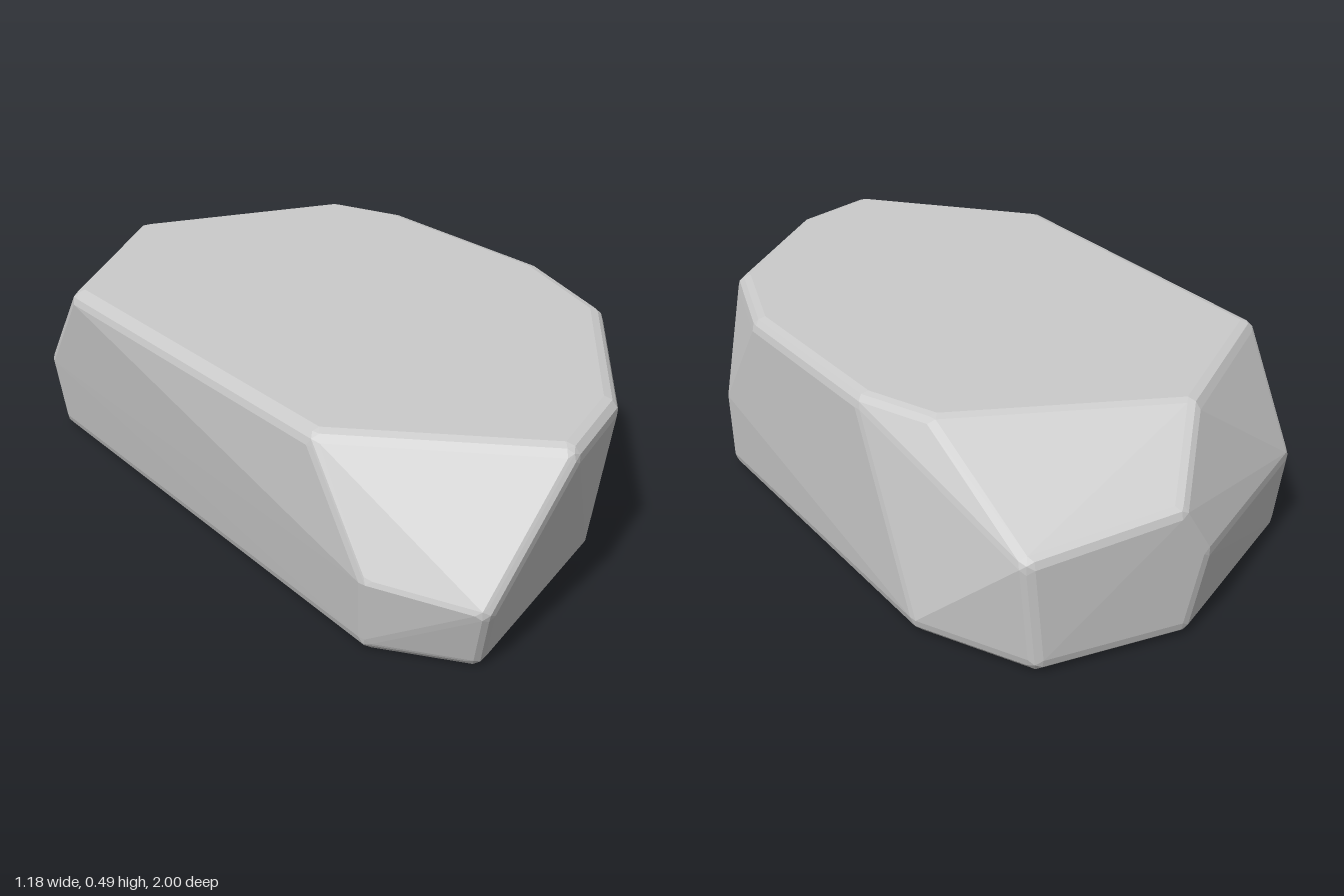
import * as THREE from 'three';
import { ConvexGeometry } from 'three/addons/geometries/ConvexGeometry.js';

const HALF_X = 0.59, HEIGHT = 0.485, BEVEL = 0.035;

// Corners of the cut stone: [x, z] rings at the top and bottom, [x, y, z] between
const TOP = [
  [-0.2, -0.81], [0.38, -0.66], [0.48, -0.48], [0.56, 0.08], [0.5, 0.41],
  [0.17, 0.83], [-0.06, 0.96], [-0.49, 0.6], [-0.59, -0.44],
];
const BOTTOM = [
  [-0.09, -0.98], [0.28, -0.99], [0.45, -0.74], [0.58, 0.26],
  [0.23, 0.69], [-0.3, 0.95], [-0.46, 0.77], [-0.55, -0.64],
];
const MIDDLE = [
  [0.59, 0.2, 0.26],                                          // left side apex
  [-0.32, 0.16, 1], [-0.48, 0.19, 0.8],                       // front corner cut
  [0.31, 0.27, -1], [-0.06, 0.32, -1], [-0.13, 0.2, -0.99],   // back slope
  [-0.575, 0.2, -0.65],
];

// Hull of small spheres set at the inset corners, giving bevelled edges
function bevelledHull(corners, r) {
  const ball = new THREE.IcosahedronGeometry(r, 1).getAttribute('position');
  const offsets = new Map();
  for (let i = 0; i < ball.count; i++) {
    const v = new THREE.Vector3().fromBufferAttribute(ball, i);
    offsets.set(v.toArray().map((n) => Math.round(n * 1e4)).join(), v);
  }
  const points = [];
  for (const [x, y, z] of corners) {
    const centre = new THREE.Vector3(
      x * (1 - r / HALF_X),
      r + y * (1 - 2 * r / HEIGHT),
      z * (1 - r));
    for (const v of offsets.values()) points.push(centre.clone().add(v));
  }
  return new ConvexGeometry(points);
}

export function createModel() {
  const group = new THREE.Group();
  group.name = 'rock';
  const corners = [
    ...TOP.map(([x, z]) => [x, HEIGHT, z]),
    ...BOTTOM.map(([x, z]) => [x, 0, z]),
    ...MIDDLE,
  ];
  const stone = new THREE.Mesh(
    bevelledHull(corners, BEVEL),
    new THREE.MeshStandardMaterial({ color: 0xcccccc, flatShading: true }));
  stone.name = 'stone';
  group.add(stone);
  return group;
}
